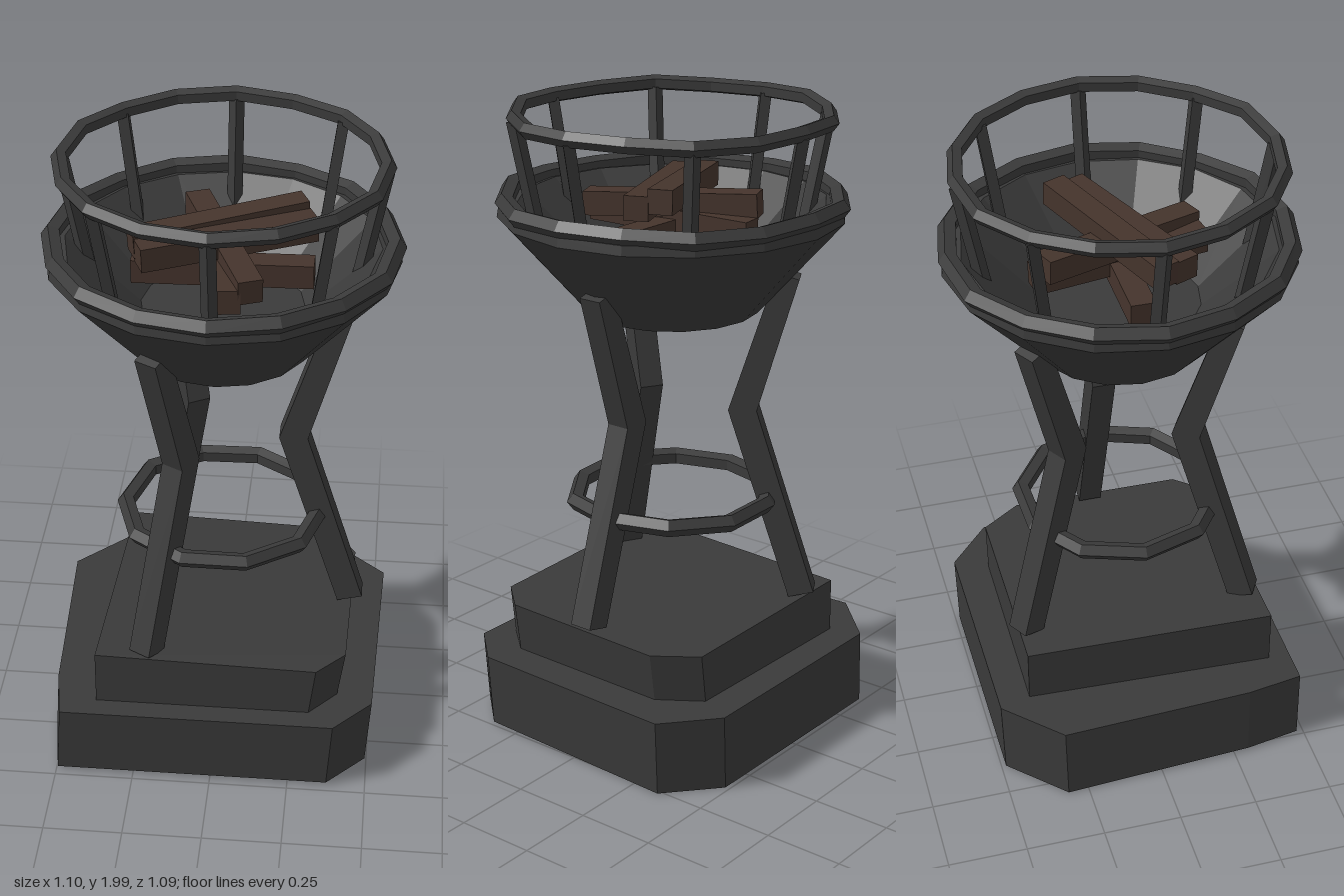
import * as THREE from 'three';

const iron = new THREE.MeshStandardMaterial({ color: 0x3a3a3a });
iron.name = 'dark iron';
const wood = new THREE.MeshStandardMaterial({ color: 0x45342c });
wood.name = 'charred wood';

export function createModel() {
  const model = new THREE.Group();

  const add = (name, geometry, material = iron, parent = model) => {
    const flat = geometry.index ? geometry.toNonIndexed() : geometry;
    flat.computeVertexNormals();
    const mesh = new THREE.Mesh(flat, material);
    mesh.name = name;
    parent.add(mesh);
    return mesh;
  };

  // Slab with chamfered corners, flared or tilted by a rule on its vertices
  const slab = (name, outline, y0, y1, rule) => {
    const shape = new THREE.Shape(outline.map(([x, z]) => new THREE.Vector2(x, -z)));
    const g = new THREE.ExtrudeGeometry(shape, { depth: y1 - y0, bevelEnabled: false });
    g.rotateX(-Math.PI / 2).translate(0, y0, 0);
    const p = g.attributes.position;
    for (let i = 0; i < p.count; i++) {
      const top = p.getY(i) > (y0 + y1) / 2;
      const [x, y, z] = rule(p.getX(i), p.getY(i), p.getZ(i), top);
      p.setXYZ(i, x, y, z);
    }
    return add(name, g);
  };
  slab('lowerPlinth',
    [[-0.48, 0.48], [0.39, 0.48], [0.51, 0.35], [0.53, -0.35], [0.37, -0.49], [-0.37, -0.49], [-0.54, -0.32], [-0.51, 0.3]],
    0.01, 0.255, (x, y, z, top) => [top ? x : x - 0.015, top ? y : y + 0.012 * z + 0.005, z * (top ? 1 : 0.99)]);
  slab('upperPlinth',
    [[-0.37, 0.41], [0.33, 0.41], [0.42, 0.31], [0.43, -0.25], [0.34, -0.38], [-0.34, -0.39]],
    0.24, 0.425, (x, y, z, top) => [top ? x : x * 0.97 - 0.012, top ? y - 0.025 * x + 0.01 * z : y, z]);

  // Three bent legs, each a cranked bar profile
  const legShape = new THREE.Shape([
    [0.38, 0.425], [0.46, 0.445], [0.27, 1.05], [0.395, 1.48], [0.325, 1.5], [0.18, 1.05],
  ].map(([r, y]) => new THREE.Vector2(r, y)));
  for (let i = 0; i < 3; i++) {
    const g = new THREE.ExtrudeGeometry(legShape, { depth: 0.076, bevelEnabled: false });
    g.translate(0, 0, -0.038);
    add('leg', g).rotation.y = (i * Math.PI * 2) / 3;
  }

  // Faceted hoops with a slight hammered wobble
  const hoop = (name, r, tube, sides, y, wobble) => {
    const g = new THREE.TorusGeometry(r, tube, 5, sides).rotateX(Math.PI / 2);
    const p = g.attributes.position;
    for (let i = 0; i < p.count; i++) {
      const step = Math.round((Math.atan2(p.getZ(i), p.getX(i)) / (Math.PI * 2)) * sides + sides) % sides;
      const k = 1 + wobble * Math.sin(step * 2.4);
      p.setXYZ(i, p.getX(i) * k, p.getY(i) + wobble * 0.4 * Math.cos(step * 2.1), p.getZ(i) * k);
    }
    add(name, g).position.y = y;
  };
  hoop('legHoop', 0.315, 0.029, 10, 0.755, 0.01);
  hoop('bowlRim', 0.515, 0.031, 16, 1.715, 0.01);
  hoop('topHoop', 0.48, 0.025, 16, 1.972, 0.01);

  // Thick fire bowl with a recessed underside
  const profile = [[0, 1.41], [0.25, 1.41], [0.27, 1.37], [0.535, 1.67], [0.53, 1.7], [0.475, 1.71], [0.25, 1.5], [0, 1.5]];
  add('bowl', new THREE.LatheGeometry(profile.map(([r, y]) => new THREE.Vector2(r, y)), 16));

  // Eight leaning posts carrying the top hoop
  for (let i = 0; i < 8; i++) {
    const pivot = new THREE.Group();
    pivot.name = 'post';
    pivot.rotation.y = (i * Math.PI) / 4;
    model.add(pivot);
    const post = add('postBar', new THREE.CylinderGeometry(0.024, 0.024, 0.38, 4), iron, pivot);
    post.position.set(0.44, 1.775, 0);
    post.rotation.z = -0.19;
  }

  // Stacked logs: centre x, y, z, then heading and tilt
  const logs = [
    [0, 1.62, 0, 0.0, 0.01],
    [0, 1.65, 0, -1.435, 0.03],
    [0, 1.7, 0, -1.19, -0.05],
    [0.015, 1.735, 0.033, 0.4, 0.03],
    [-0.015, 1.75, -0.033, 0.4, 0.06],
  ];
  for (const [x, y, z, heading, tilt] of logs) {
    const log = add('log', new THREE.BoxGeometry(0.55, 0.075, 0.076), wood);
    log.position.set(x, y, z);
    log.rotation.set(0, heading, tilt);
  }

  return model;
}
